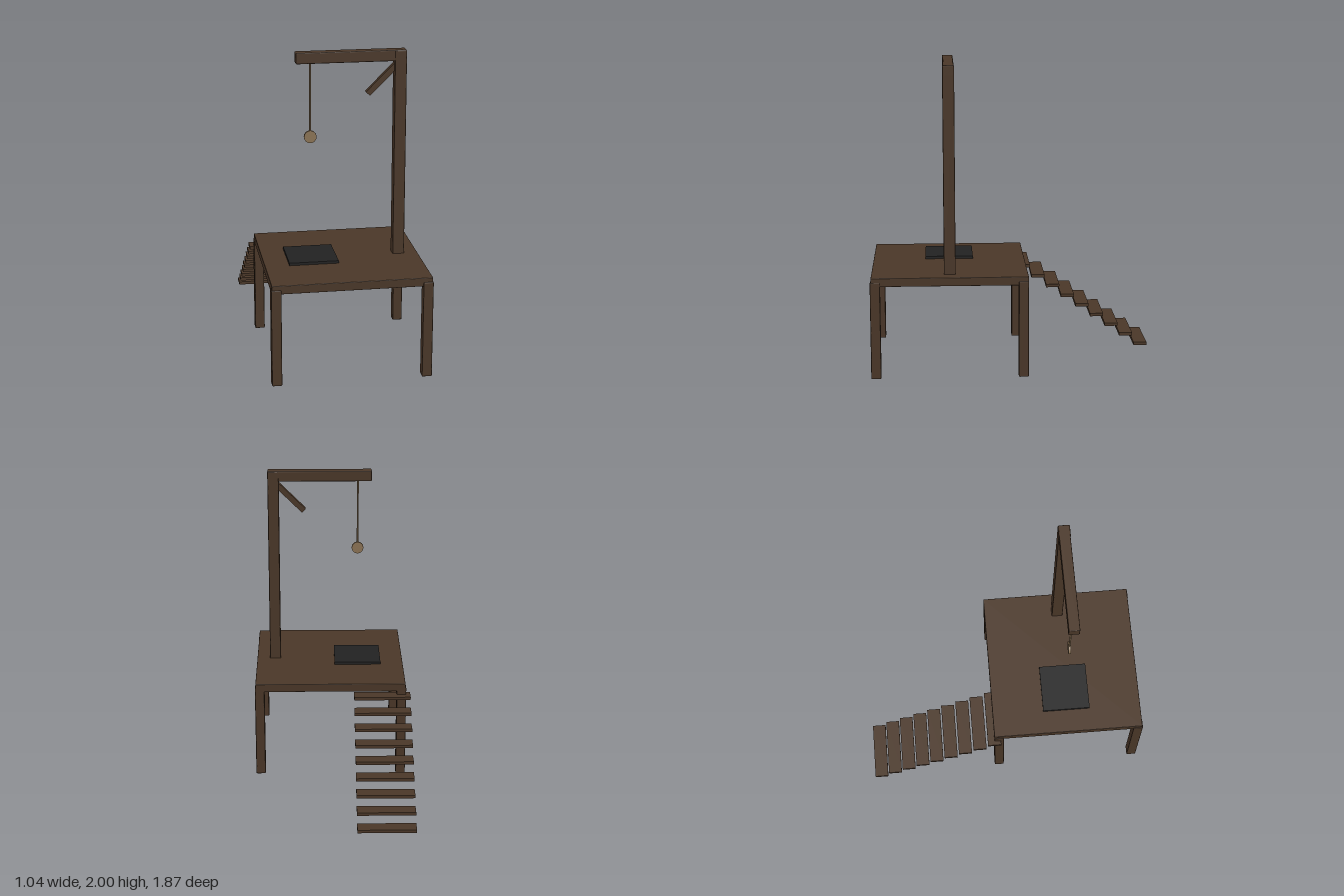
import * as THREE from 'three';
import { RoundedBoxGeometry } from 'three/addons/geometries/RoundedBoxGeometry.js';

export function createModel() {
  const model = new THREE.Group();
  model.name = 'timberScaffold';

  const material = (name, color) => {
    const m = new THREE.MeshStandardMaterial({ color });
    m.name = name;
    return m;
  };
  const wood = material('darkWood', 0x4a3728);
  const iron = material('blackHatch', 0x222222);
  const rope = material('rope', 0x8b7355);

  const add = (name, geometry, mat, x, y, z) => {
    const mesh = new THREE.Mesh(geometry, mat);
    mesh.name = name;
    mesh.position.set(x, y, z);
    model.add(mesh);
    return mesh;
  };
  // Timber with slightly eased edges, given by its two extreme corners
  const timber = (name, [x0, y0, z0], [x1, y1, z1], bevel = 0.006) =>
    add(name, new RoundedBoxGeometry(x1 - x0, y1 - y0, z1 - z0, 1, bevel), wood,
      (x0 + x1) / 2, (y0 + y1) / 2, (z0 + z1) / 2);

  // Deck and its four legs
  timber('platform', [-0.49, 0.607, -0.077], [0.515, 0.662, 0.928], 0.003);
  for (const x of [-0.463, 0.487]) {
    for (const z of [-0.045, 0.902]) {
      timber('leg', [x - 0.032, 0, z - 0.032], [x + 0.032, 0.633, z + 0.032]);
    }
  }

  // Hatch set on the deck
  add('trapdoor', new THREE.BoxGeometry(0.316, 0.03, 0.316), iron, -0.178, 0.664, 0.425);

  // Upright, cross beam and diagonal brace
  timber('post', [0.352, 0.655, 0.388], [0.427, 1.997, 0.463]);
  timber('beam', [-0.27, 1.93, 0.39], [0.427, 2, 0.46]);
  const brace = add('brace', new THREE.BoxGeometry(0.26, 0.036, 0.036), wood, 0.277, 1.815, 0.425);
  brace.rotation.z = Math.PI / 4;

  // Hanging rope and the flat disc at its end
  add('rope', new THREE.CylinderGeometry(0.006, 0.006, 0.47, 8), rope, -0.178, 1.695, 0.425);
  const disc = add('ropeEnd', new THREE.CylinderGeometry(0.04, 0.04, 0.016, 16), rope, -0.178, 1.457, 0.425);
  disc.rotation.x = Math.PI / 2;

  // Open staircase climbing to the back of the deck
  for (let i = 0; i < 9; i++) {
    add('stairTread', new THREE.BoxGeometry(0.377, 0.021, 0.09), wood,
      -0.334, 0.016 + i * 0.0697, -0.886 + i * 0.101);
  }

  return model;
}
